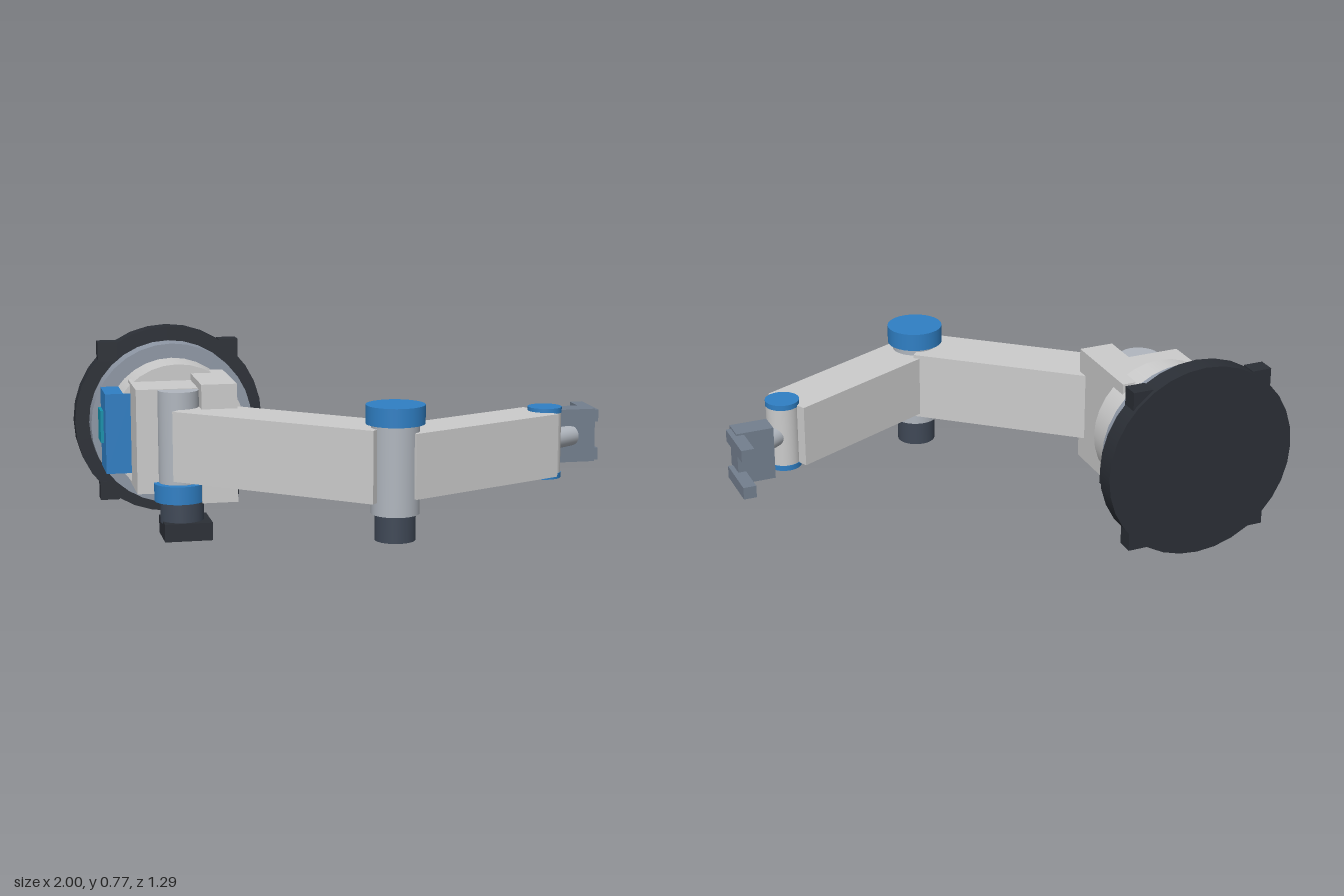
import * as THREE from 'three';

const mat = (color) => new THREE.MeshStandardMaterial({ color });
const light = mat(0xcccccc), steel = mat(0xb0b6be), collar = mat(0x8f98a6), dark = mat(0x2b2f36);
const motor = mat(0x3f4856), tool = mat(0x737f8e), blue = mat(0x2f7fc4), teal = mat(0x1592ad);

export function createModel() {
  const model = new THREE.Group();

  const add = (name, geometry, material) => {
    const mesh = new THREE.Mesh(geometry, material);
    mesh.name = name;
    model.add(mesh);
    return mesh;
  };
  // Box given by its limits on each axis
  const box = (name, material, [x0, x1], [y0, y1], [z0, z1]) =>
    add(name, new THREE.BoxGeometry(x1 - x0, y1 - y0, z1 - z0), material)
      .position.set((x0 + x1) / 2, (y0 + y1) / 2, (z0 + z1) / 2);
  // Upright cylinder at (x, z) between two heights
  const post = (name, material, [x, z], r, y0, y1) =>
    add(name, new THREE.CylinderGeometry(r, r, y1 - y0, 32), material).position.set(x, (y0 + y1) / 2, z);
  // Rectangular beam along the line a-b, from distance s0 past a to s1
  const beam = (name, a, b, s0, s1, width, height) => {
    const angle = Math.atan2(b[1] - a[1], b[0] - a[0]);
    const mid = (s0 + s1) / 2;
    const mesh = add(name, new THREE.BoxGeometry(s1 - s0, height, width), light);
    mesh.position.set(a[0] + Math.cos(angle) * mid, 0.39, a[1] + Math.sin(angle) * mid);
    mesh.rotation.y = -angle;
  };

  // Joint positions in plan (x, z)
  const shoulder = [-0.64, -0.073], elbow = [0.077, 0.532], wrist = [0.745, 0.225];
  const baseX = -0.615, baseY = 0.39;

  // Stepped round base, its axis along z
  const steps = [
    ['basePlate', dark, 0.385, -0.645, -0.565],
    ['baseCollar', collar, 0.328, -0.565, -0.465],
    ['baseDrum', light, 0.27, -0.465, -0.28],
  ];
  for (const [name, material, r, z0, z1] of steps) {
    const mesh = add(name, new THREE.CylinderGeometry(r, r, z1 - z0, 32), material);
    mesh.rotation.x = Math.PI / 2;
    mesh.position.set(baseX, baseY, (z0 + z1) / 2);
  }

  // Four mounting lugs on the plate
  for (const sx of [-1, 1]) for (const sy of [-1, 1]) {
    const x = baseX + sx * 0.248, y = baseY + sy * 0.288;
    box('mountingLug', dark, [x - 0.039, x + 0.039], [y - 0.039, y + 0.039], [-0.63, -0.562]);
  }

  // Control box on the side of the drum
  box('controlBox', blue, [-0.903, -0.8], [0.23, 0.55], [-0.47, -0.275]);
  box('controlPanel', teal, [-0.915, -0.9], [0.34, 0.47], [-0.46, -0.36]);

  // Shoulder housing and joint
  box('shoulderHousing', light, [-0.803, -0.56], [0.185, 0.595], [-0.355, -0.077]);
  box('shoulderCheek', light, [-0.562, -0.423], [0.158, 0.622], [-0.358, 0.015]);
  post('shoulderPost', steel, shoulder, 0.08, 0.18, 0.592);
  post('shoulderRing', blue, [-0.64, -0.06], 0.1, 0.16, 0.23);
  post('shoulderMotor', motor, [-0.63, -0.08], 0.085, 0.07, 0.162);
  box('shoulderMotorCap', dark, [-0.71, -0.523], [0.01, 0.08], [-0.17, 0.015]);

  // Upper arm and elbow
  beam('upperArm', shoulder, elbow, 0.045, 0.905, 0.225, 0.272);
  post('elbowPost', steel, elbow, 0.09, 0.205, 0.545);
  post('elbowCap', blue, elbow, 0.11, 0.54, 0.61);
  post('elbowMotor', motor, elbow, 0.076, 0.105, 0.207);

  // Forearm and wrist
  beam('forearm', elbow, wrist, 0.02, 0.715, 0.2, 0.244);
  post('wristPost', light, wrist, 0.064, 0.27, 0.507);
  post('wristCap', blue, wrist, 0.066, 0.506, 0.527);
  post('wristCap', blue, wrist, 0.066, 0.25, 0.271);

  // Tool rod from the wrist to the gripper
  const rodAngle = 0.6, rodLength = 0.17;
  const rod = add('toolRod', new THREE.CylinderGeometry(0.04, 0.04, rodLength, 24), steel);
  rod.rotation.set(0, rodAngle, -Math.PI / 2);
  rod.position.set(
    wrist[0] + Math.cos(rodAngle) * rodLength / 2, 0.39,
    wrist[1] - Math.sin(rodAngle) * rodLength / 2);

  // Gripper with two fingers pointing back
  box('gripperBody', tool, [0.835, 0.98], [0.285, 0.495], [0.055, 0.143]);
  for (const y of [0.311, 0.464])
    box('gripperFinger', tool, [0.95, 1.0], [y - 0.024, y + 0.024], [-0.075, 0.125]);

  return model;
}
